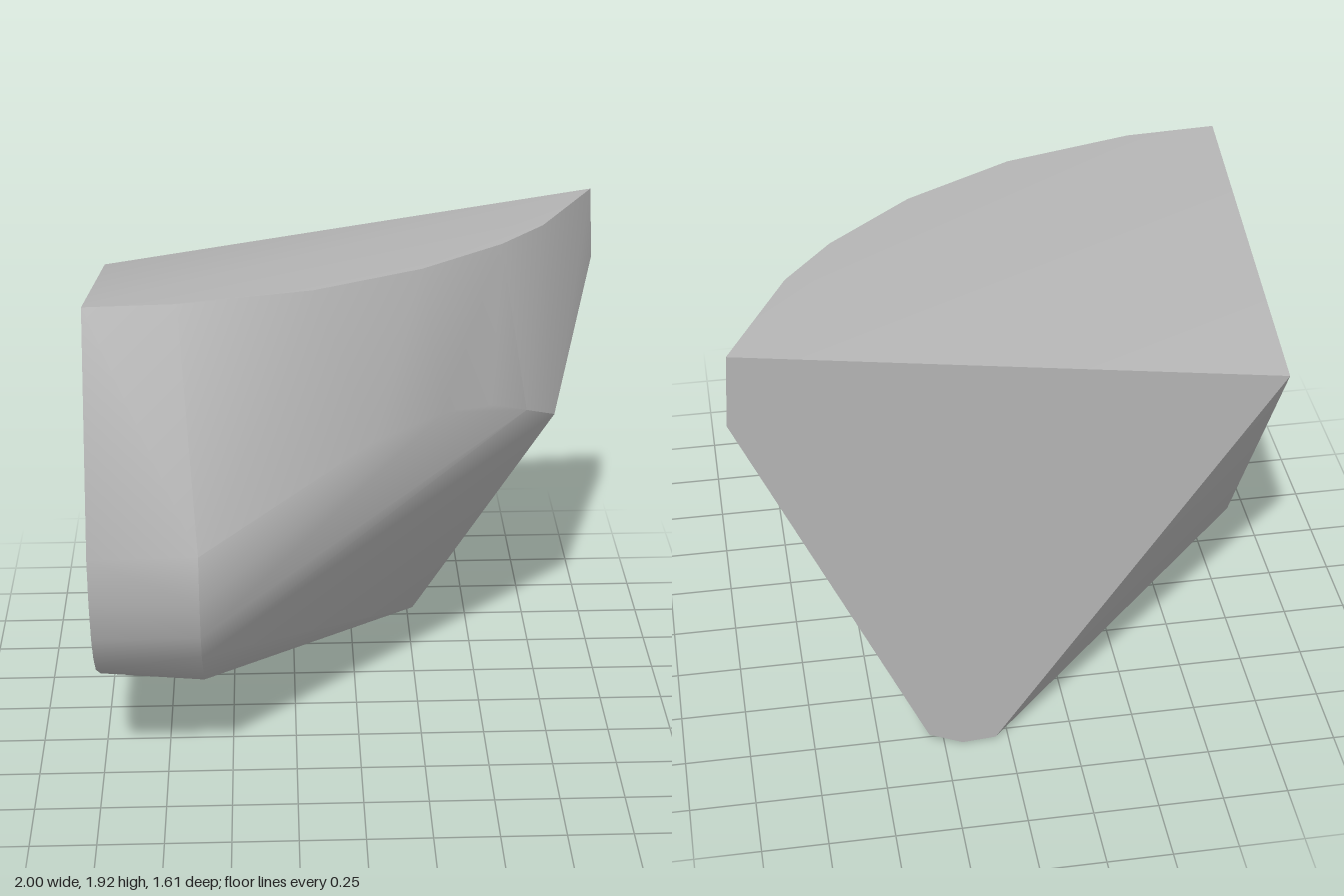
import * as THREE from 'three';
import { ConvexGeometry } from 'three/addons/geometries/ConvexGeometry.js';
import { toCreasedNormals } from 'three/addons/utils/BufferGeometryUtils.js';

const at = (x, profile) => profile.map(([z, y]) => [x, y, z]);

export function createModel() {
  const group = new THREE.Group();
  const stone = new THREE.MeshStandardMaterial({ color: 0xb4b4b4 });
  stone.name = 'stone grey';

  // Curved rim of the level top, as x, z
  const rim = [[-1, 0.46], [-0.66, 0.44], [-0.17, 0.32], [0.24, 0.11], [0.56, -0.15], [0.74, -0.36], [0.98, -0.8]]
    .map(([x, z]) => [x, 1.92, z]);

  // Rounded nose, from the flat cut side to its inner end, as z, y
  const cutSide = at(-1, [[0.8, 1.08], [0.805, 0.9], [0.775, 0.74], [0.72, 0.63], [0.64, 0.54],
    [0.44, 0.41], [0.27, 0.37], [0.03, 0.4], [-0.15, 0.5]]);
  const noseEnd = at(-0.6, [[0.79, 1.08], [0.8, 0.89], [0.77, 0.74], [0.72, 0.63], [0.52, 0.42]]);

  // Shoulder ridge running back from the nose
  const shoulder = [[0.05, 1.34, 0.38], [0.32, 1.38, 0.21], [0.52, 1.33, 0.03], [0.67, 1.25, -0.1], [0.8, 1.16, -0.26]];

  // Flat back outline and the rounded foot
  const back = [[0.995, 1.63, -0.8], [0.31, 0.06, -0.8], [0.18, 0, -0.8], [0.05, 0.01, -0.8], [-1, 1.62, -0.8]];
  const foot = [[0.26, 0.13, -0.57]];

  const points = [...rim, ...cutSide, ...noseEnd, ...shoulder, ...back, ...foot]
    .map((p) => new THREE.Vector3(...p));
  const shard = new THREE.Mesh(toCreasedNormals(new ConvexGeometry(points), 0.52), stone);
  shard.name = 'rockShard';
  group.add(shard);
  return group;
}
